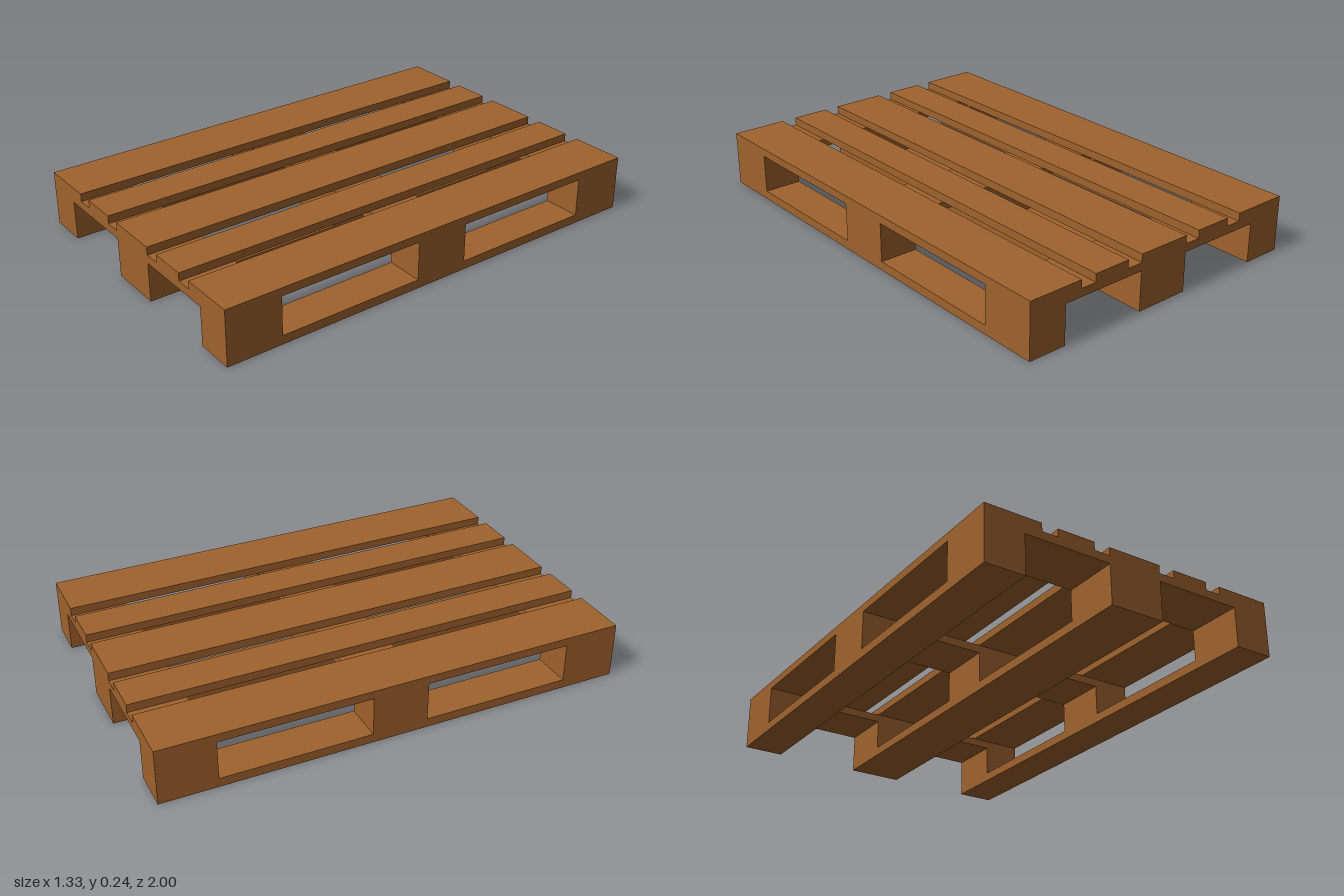
import * as THREE from 'three';

export function createModel() {
  const pallet = new THREE.Group();
  pallet.name = 'pallet';
  const wood = new THREE.MeshStandardMaterial({ color: 0x9f622d });
  wood.name = 'brown wood';

  // Box given by its [min, max] range on each axis
  const addBox = (name, [x0, x1], [y0, y1], [z0, z1]) => {
    const mesh = new THREE.Mesh(new THREE.BoxGeometry(x1 - x0, y1 - y0, z1 - z0), wood);
    mesh.position.set((x0 + x1) / 2, (y0 + y1) / 2, (z0 + z1) / 2);
    mesh.name = name;
    pallet.add(mesh);
  };

  const length = [-1, 1];
  const rows = [[-1, -0.76], [-0.12, 0.12], [0.76, 1]];
  const deck = [[-0.667, -0.42], [-0.35, -0.185], [-0.116, 0.123], [0.193, 0.357], [0.426, 0.667]];
  const skids = [[-0.667, -0.495], [-0.116, 0.123], [0.5, 0.667]];

  // Top planks running front to back
  deck.forEach((x, i) => addBox(`deckBoard${i + 1}`, x, [0.205, 0.24], length));

  // Cross boards under the deck
  rows.forEach((z, i) => addBox(`crossBoard${i + 1}`, [-0.667, 0.667], [0.17, 0.205], z));

  // Bottom runners, each with three spacer blocks
  skids.forEach((x, i) => {
    addBox(`runner${i + 1}`, x, [0, 0.038], length);
    rows.forEach((z, j) => addBox(`block${i + 1}_${j + 1}`, x, [0.038, 0.17], z));
  });

  return pallet;
}
